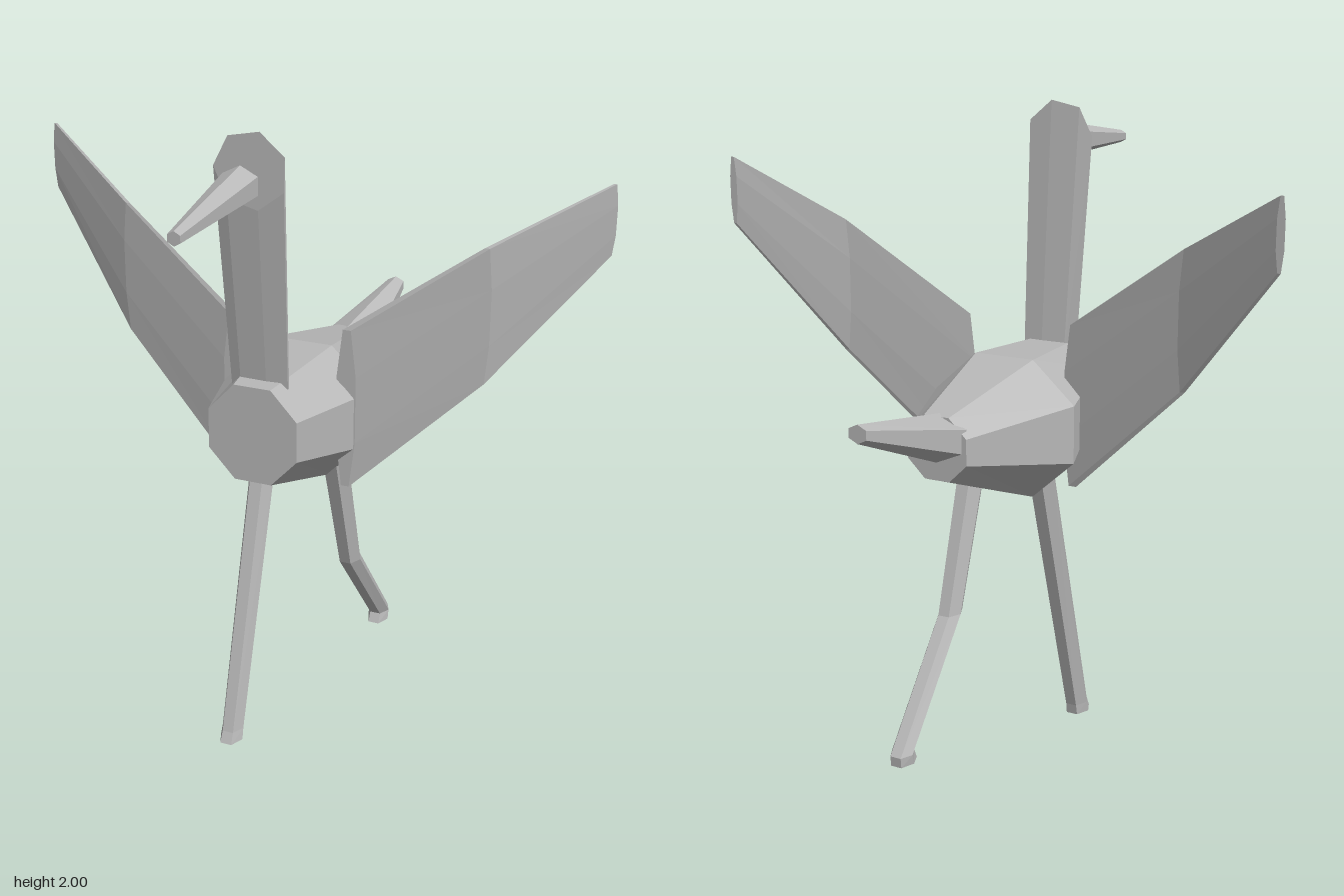
import * as THREE from 'three';

const RAD = Math.PI / 180;

// Closed faceted loft through parallel elliptical rings.
// Each ring is [x, y, z, halfA, halfB]; rings run towards +z, or towards +y when upright.
function loft(name, material, rings, sides, phase = 0, upright = false) {
  const pts = rings.map(([x, y, z, a, b]) =>
    Array.from({ length: sides }, (_, i) => {
      const t = phase * RAD + (i / sides) * Math.PI * 2;
      const u = a * Math.cos(t), v = b * Math.sin(t);
      return upright ? [x + u, y, z - v] : [x + u, y + v, z];
    }));
  const pos = [];
  const tri = (p, q, r) => pos.push(...p, ...q, ...r);

  // side faces
  for (let k = 0; k < pts.length - 1; k++) {
    for (let i = 0; i < sides; i++) {
      const j = (i + 1) % sides, lo = pts[k], hi = pts[k + 1];
      tri(lo[i], lo[j], hi[j]);
      tri(lo[i], hi[j], hi[i]);
    }
  }
  // end caps
  const first = pts[0], last = pts[pts.length - 1];
  for (let i = 1; i < sides - 1; i++) {
    tri(first[0], first[i + 1], first[i]);
    tri(last[0], last[i], last[i + 1]);
  }

  const geometry = new THREE.BufferGeometry();
  geometry.setAttribute('position', new THREE.Float32BufferAttribute(pos, 3));
  geometry.computeVertexNormals(); // unshared corners keep the facets flat
  const mesh = new THREE.Mesh(geometry, material);
  mesh.name = name;
  return mesh;
}

export function createModel() {
  const bird = new THREE.Group();
  bird.name = 'bird';
  const grey = new THREE.MeshStandardMaterial({ color: 0xb8b8b8 });
  grey.name = 'plain grey';

  // octagons with a flat top: corner radius from the half width
  const c = 1 / Math.cos(22.5 * RAD);
  bird.add(loft('body', grey, [
    [0, 1.08, -0.45, 0.097 * c, 0.095 * c],
    [0, 1.05, -0.05, 0.237 * c, 0.215 * c],
    [0, 1.10, 0.315, 0.14 * c, 0.15 * c],
  ], 8, 22.5));

  bird.add(loft('tail', grey, [
    [0.027, 1.21, -0.81, 0.032, 0.027],
    [0, 1.105, -0.43, 0.1, 0.075],
  ], 6, 90));

  // thin neck ending in a flat head
  bird.add(loft('neck', grey, [
    [0, 1.15, 0.24, 0.093, 0.09],
    [0.003, 1.887, 0.315, 0.112, 0.113],
  ], 7, 24));

  // beak floats ahead of the head
  bird.add(loft('beak', grey, [
    [0.01, 1.87, 0.395, 0.06, 0.052],
    [0.022, 1.84, 0.81, 0.021, 0.02],
  ], 6, 90));

  // wings: thin blades, tip to root
  for (const s of [1, -1]) {
    bird.add(loft(s > 0 ? 'leftWing' : 'rightWing', grey, [
      [s * 0.895, 1.72, -0.168, 0.013, 0.112],
      [s * 0.575, 1.428, -0.037, 0.02, 0.224],
      [s * 0.185, 1.107, 0.048, 0.033, 0.274],
    ], 8, 22.5));
  }

  // standing leg, sole to hip
  bird.add(loft('rightLeg', grey, [
    [-0.108, 0, 0.265, 0.038, 0.052],
    [-0.108, 0.035, 0.253, 0.036, 0.046],
    [-0.11, 0.94, -0.025, 0.042, 0.05],
  ], 6, 0, true));

  // bent leg lifted behind, sole to hip
  bird.add(loft('leftLeg', grey, [
    [0.108, 0.09, -0.485, 0.036, 0.051],
    [0.108, 0.122, -0.494, 0.036, 0.044],
    [0.11, 0.47, -0.198, 0.037, 0.048],
    [0.112, 0.94, -0.04, 0.043, 0.056],
  ], 6, 0, true));

  return bird;
}
